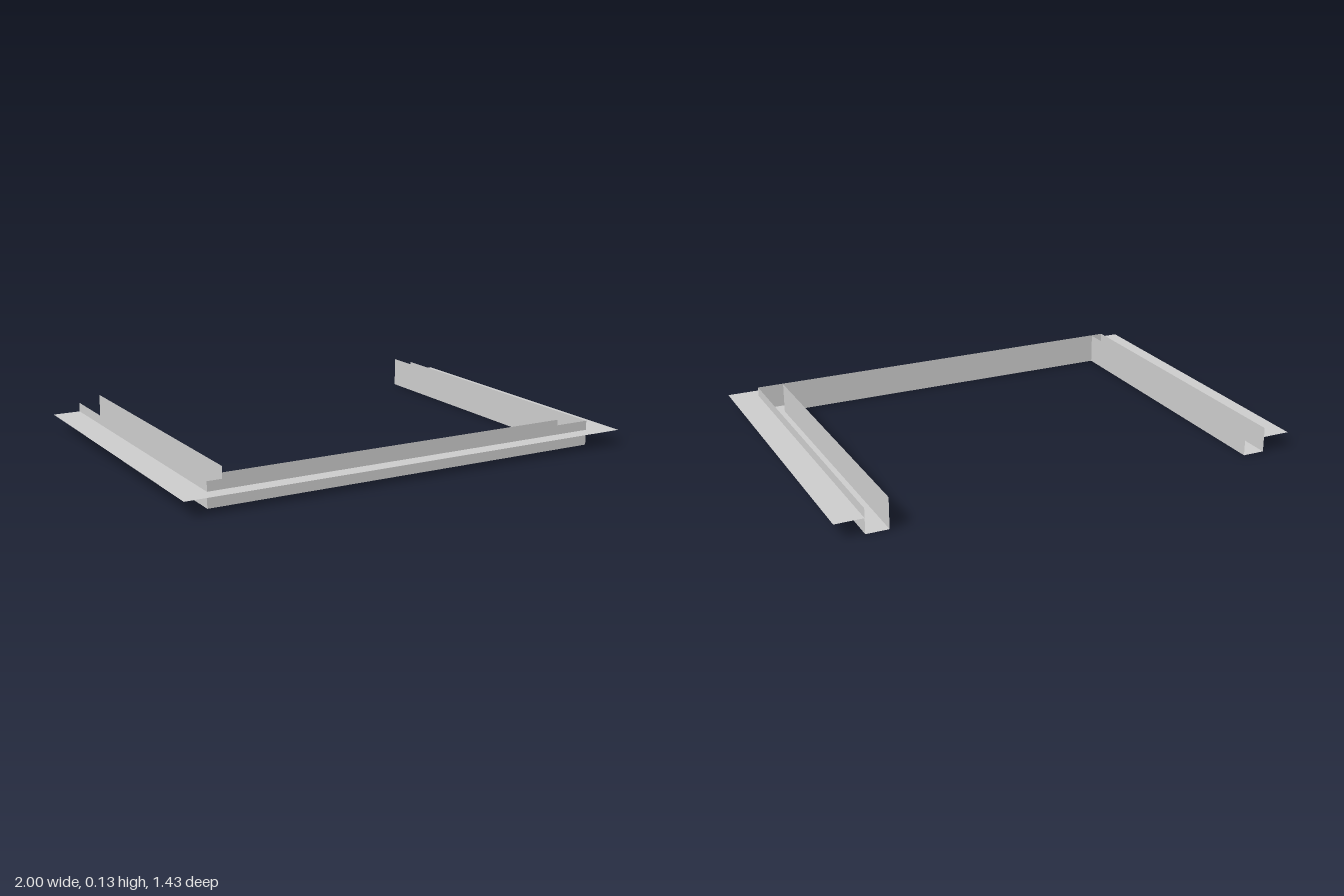
import * as THREE from 'three';

const BACK = -0.717;
const INNER = { x: 0.785, z: 0.577 };
const OUTER = { x: 0.88, z: 0.65 };
const RIM = { x: 1, z: 0.717 };
const FLANGE_Y = 0.065, OUTER_TOP = 0.105, INNER_TOP = 0.13;

const material = new THREE.MeshStandardMaterial({ color: 0xcccccc, side: THREE.DoubleSide });

function addMesh(parent, name, geometry) {
  const mesh = new THREE.Mesh(geometry, material);
  mesh.name = name;
  parent.add(mesh);
  return mesh;
}

// Flat U-shaped sheet between two rails, facing up
function uSheet(inner, outer, y) {
  const shape = new THREE.Shape([
    [-outer.x, BACK], [-outer.x, outer.z], [outer.x, outer.z], [outer.x, BACK],
    [inner.x, BACK], [inner.x, inner.z], [-inner.x, inner.z], [-inner.x, BACK],
  ].map(([x, z]) => new THREE.Vector2(x, -z)));
  return new THREE.ShapeGeometry(shape).rotateX(-Math.PI / 2).translate(0, y, 0);
}

// Three upright sheets that follow a rail
function uWalls(parent, label, rail, armTop, frontTop) {
  const length = rail.z - BACK;
  for (const [side, s] of [['left', 1], ['right', -1]]) {
    const wall = new THREE.PlaneGeometry(length, armTop)
      .rotateY(s * Math.PI / 2)
      .translate(s * rail.x, armTop / 2, (rail.z + BACK) / 2);
    addMesh(parent, `${side}${label}Wall`, wall);
  }
  const front = new THREE.PlaneGeometry(rail.x * 2, frontTop).translate(0, frontTop / 2, rail.z);
  addMesh(parent, `front${label}Wall`, front);
}

export function createModel() {
  const group = new THREE.Group();
  group.name = 'channelFrame';

  // Open channel: floor, inner walls (higher along the arms) and outer walls
  addMesh(group, 'channelFloor', uSheet(INNER, OUTER, 0));
  uWalls(group, 'Inner', INNER, INNER_TOP, OUTER_TOP);
  uWalls(group, 'Outer', OUTER, OUTER_TOP, OUTER_TOP);

  // Flat flange running round the outside at mid height
  addMesh(group, 'flange', uSheet(OUTER, RIM, FLANGE_Y));

  return group;
}
